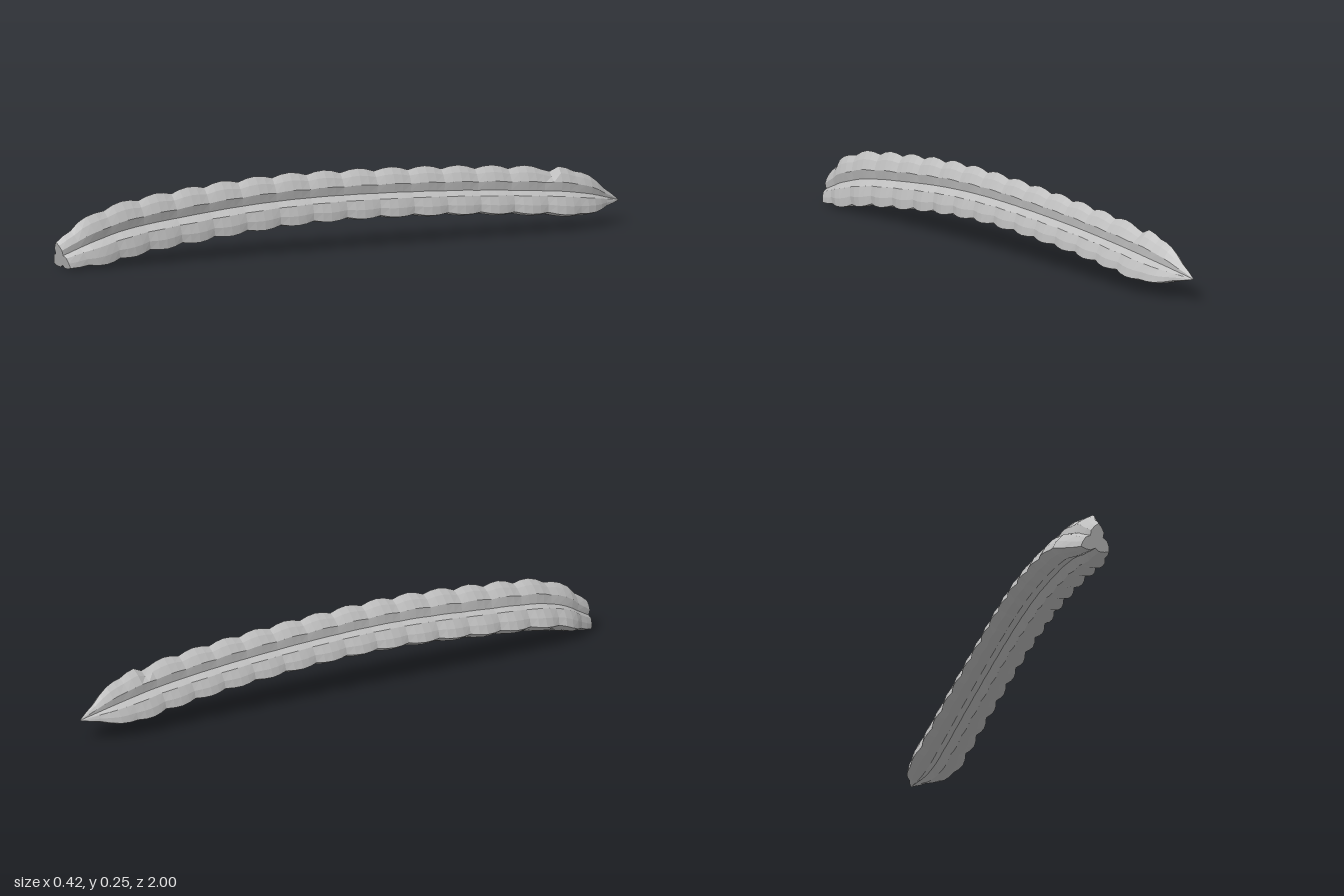
import * as THREE from 'three';

const v = (x, y, z) => new THREE.Vector3(x, y, z);

// Centre line of the stem, from the blunt front end to the pointed tail
const path = new THREE.CatmullRomCurve3([
  v(-0.131, 0.034, 0.98), v(-0.117, 0.092, 0.8), v(-0.08, 0.128, 0.5), v(-0.037, 0.146, 0.25),
  v(0.007, 0.149, 0), v(0.074, 0.133, -0.4), v(0.12, 0.108, -0.7), v(0.133, 0.093, -0.82), v(0.145, 0.07, -1),
]);

// Crest radius along the stem: [fraction of length, radius]
const radii = [[0, 0.055], [0.04, 0.09], [0.09, 0.104], [0.25, 0.104], [0.4, 0.1], [0.5, 0.096],
  [0.75, 0.095], [0.91, 0.096], [0.95, 0.066], [1, 0.002]];

// Lean of the upper crest towards the left side, in degrees
const twists = [[0, 2], [0.07, 14], [0.3, 11], [0.5, 7], [0.9, 0], [1, 0]];

function sample(table, t) {
  let k = 1;
  while (k < table.length - 1 && table[k][0] < t) k++;
  const [t0, a] = table[k - 1], [t1, b] = table[k];
  return THREE.MathUtils.lerp(a, b, (t - t0) / (t1 - t0));
}

// One sharp-crested lobe: [angle from its crest in degrees, share of the radius]
const lobe = [[-37, 0.66], [-15, 0.83], [0, 1], [15, 0.83], [37, 0.66], [60, 0.45]];
const BUMPS = 17, PER_BUMP = 4, RINGS = BUMPS * PER_BUMP, SIDES = lobe.length * 3;

function ring(i) {
  const t = i / RINGS;
  const c = path.getPointAt(t), tangent = path.getTangentAt(t);
  const side = tangent.clone().cross(v(0, 1, 0)).normalize();
  const up = side.clone().cross(tangent);
  const scallop = 1 - Math.abs(Math.sin((i / PER_BUMP + 0.5) * Math.PI));
  const points = [];
  for (let n = 0; n < 3; n++) {
    for (const [deg, share] of lobe) {
      const a = THREE.MathUtils.degToRad(90 - sample(twists, t) + n * 120 + deg);
      let r = sample(radii, t) * share * (1 - 0.12 * scallop * share);
      // small notch in the upper crest near the tail
      if (n === 0 && i === 59 && Math.abs(deg) < 30) r *= 0.85;
      points.push(c.clone().addScaledVector(side, r * Math.cos(a)).addScaledVector(up, r * Math.sin(a)));
    }
  }
  return points;
}

function stemGeometry() {
  const positions = [], index = [];
  for (let i = 0; i <= RINGS; i++) for (const p of ring(i)) positions.push(p.x, p.y, p.z);
  for (let i = 0; i < RINGS; i++) {
    for (let j = 0; j < SIDES; j++) {
      const k = (j + 1) % SIDES;
      const a = i * SIDES + j, b = i * SIDES + k, c = b + SIDES, d = a + SIDES;
      index.push(a, d, c, a, c, b);
    }
  }
  // flat front cap and tiny tail cap
  const front = positions.length / 3, tail = front + 1, last = RINGS * SIDES;
  for (const p of [path.getPoint(0), path.getPoint(1)]) positions.push(p.x, p.y, p.z);
  for (let j = 0; j < SIDES; j++) {
    const k = (j + 1) % SIDES;
    index.push(front, j, k, tail, last + k, last + j);
  }
  const g = new THREE.BufferGeometry();
  g.setAttribute('position', new THREE.Float32BufferAttribute(positions, 3));
  g.setIndex(index);
  const flat = g.toNonIndexed();
  flat.computeVertexNormals();
  return flat;
}

export function createModel() {
  const group = new THREE.Group();
  group.name = 'ribbedStem';
  const grey = new THREE.MeshStandardMaterial({ color: 0xbfbfbf });
  grey.name = 'grey';
  const stem = new THREE.Mesh(stemGeometry(), grey);
  stem.name = 'threeLobedStem';
  group.add(stem);
  return group;
}
